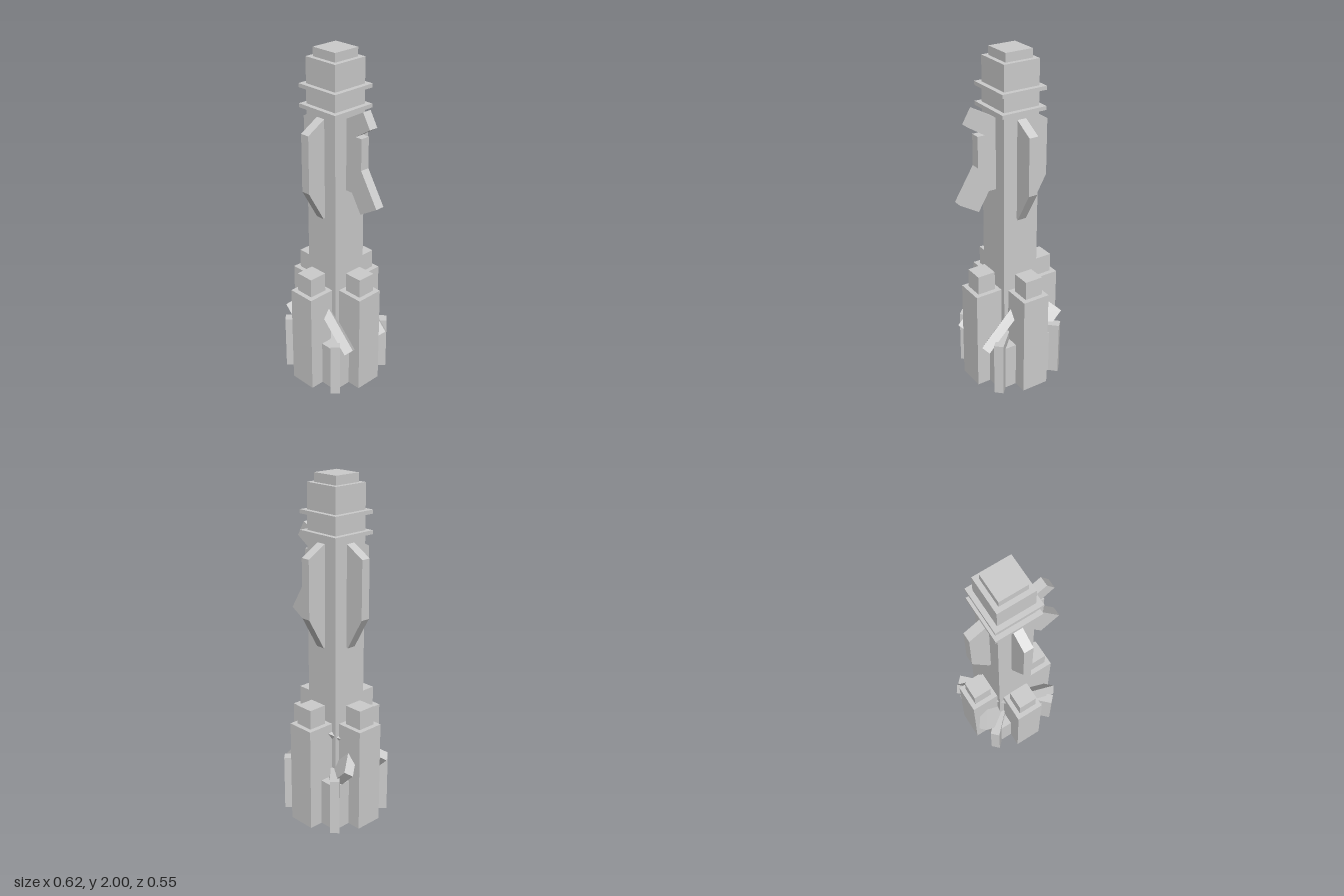
import * as THREE from 'three';

const material = new THREE.MeshStandardMaterial({ color: 0xcccccc, flatShading: true });
const PLATE = 0.055; // thickness of every fin

function box(parent, name, w, h, d, x, y, z) {
  const mesh = new THREE.Mesh(new THREE.BoxGeometry(w, h, d), material);
  mesh.name = name;
  mesh.position.set(x, y, z);
  parent.add(mesh);
  return mesh;
}

// Square block standing between two heights
function block(parent, name, half, y0, y1, x = 0) {
  return box(parent, name, half * 2, y1 - y0, half * 2, x, (y0 + y1) / 2, 0);
}

// Two crossed plates giving four diagonal fins
function crossFins(name, radius, height) {
  const group = new THREE.Group();
  group.name = name;
  for (const s of [-1, 1]) {
    box(group, name + 'Plate', radius * 2, height, PLATE, 0, 0, 0).rotation.y = s * Math.PI / 4;
  }
  return group;
}

// Flat fin cut from an outline of (distance from axis, height)
function plateFin(name, outline, angle) {
  const shape = new THREE.Shape(outline.map(([x, y]) => new THREE.Vector2(x, y)));
  const geometry = new THREE.ExtrudeGeometry(shape, { depth: PLATE, bevelEnabled: false });
  geometry.translate(0, 0, -PLATE / 2);
  const mesh = new THREE.Mesh(geometry, material);
  mesh.name = name;
  mesh.rotation.y = angle;
  return mesh;
}

export function createModel() {
  const model = new THREE.Group();
  model.name = 'tower';
  const body = new THREE.Group();
  body.name = 'body';
  body.position.x = -0.031;
  model.add(body);

  // Central column, collars and cap
  block(body, 'column', 0.11, 0, 1.95);
  block(body, 'lowerCollar', 0.138, 1.672, 1.694);
  block(body, 'upperCollar', 0.138, 1.783, 1.805);
  block(body, 'cap', 0.083, 1.95, 2);

  // Base with upright diagonal fins
  block(body, 'base', 0.194, 0, 0.28);
  const baseFins = crossFins('baseFin', 0.305, 0.333);
  baseFins.position.y = 0.1665;
  body.add(baseFins);

  // Second set of fins leaning over at 45 degrees
  const leaningFins = crossFins('leaningFin', 0.222, 0.44);
  leaningFins.position.y = 0.333;
  leaningFins.rotation.z = Math.PI / 4;
  body.add(leaningFins);

  // Four side pillars with smaller caps
  for (let i = 0; i < 4; i++) {
    const pillar = new THREE.Group();
    pillar.name = 'sidePillar';
    pillar.rotation.y = i * Math.PI / 2;
    block(pillar, 'pillarBody', 0.083, 0, 0.612, 0.194);
    block(pillar, 'pillarCap', 0.055, 0.612, 0.725, 0.194);
    body.add(pillar);
  }

  // Upper fins: three tapered ones and a jagged one on the left
  const tapered = [[0.08, 1.62], [0.11, 1.64], [0.225, 1.575], [0.225, 1.24], [0.12, 1.055], [0.08, 1.08]];
  const jagged = [
    [0.08, 1.63], [0.112, 1.645], [0.231, 1.71], [0.281, 1.625], [0.178, 1.56], [0.222, 1.56],
    [0.222, 1.38], [0.338, 1.19], [0.221, 1.12], [0.155, 1.23], [0.08, 1.23],
  ];
  for (let i = 1; i < 4; i++) body.add(plateFin('taperedFin', tapered, i * Math.PI / 2));
  body.add(plateFin('jaggedFin', jagged, 0));

  return model;
}
